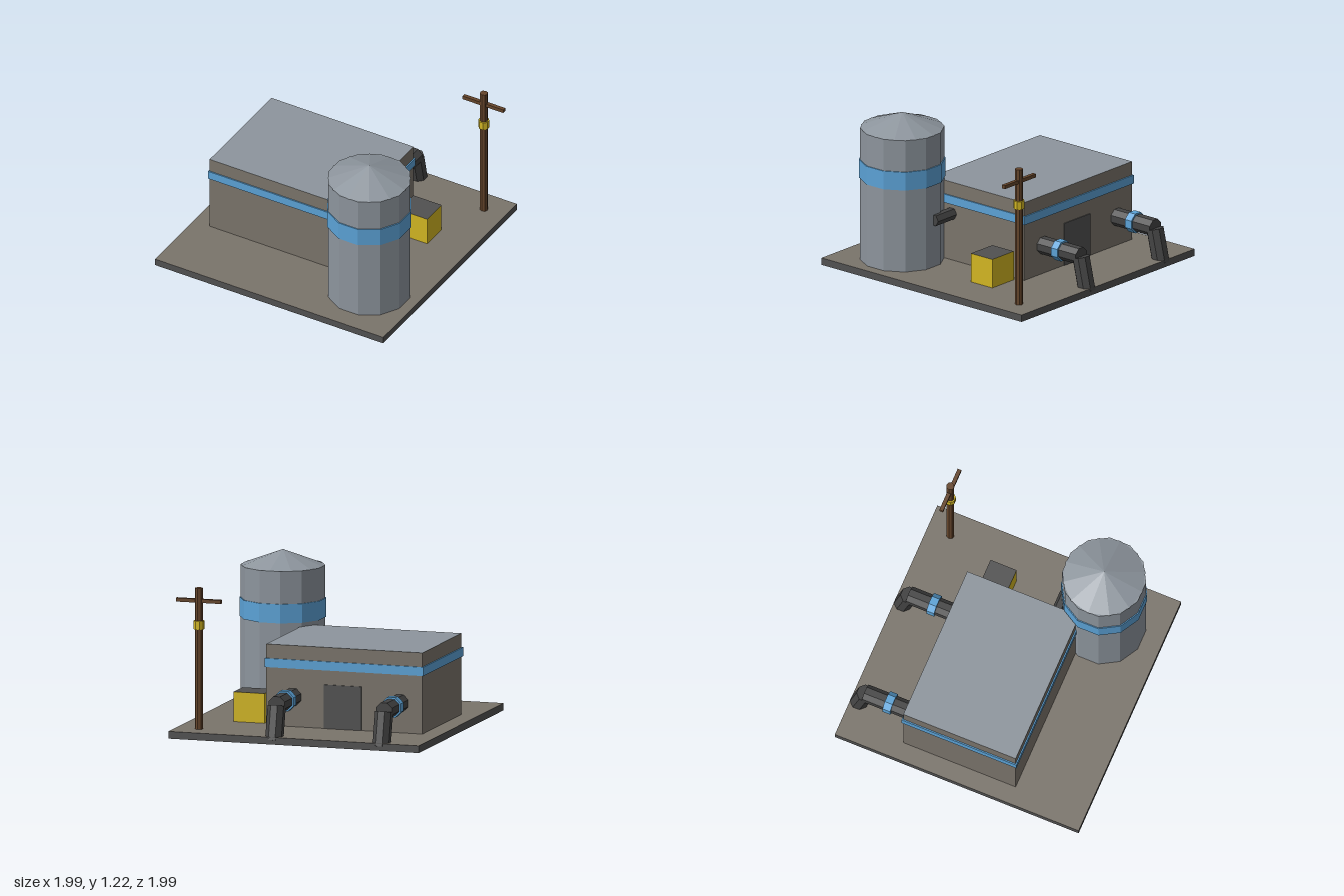
import * as THREE from 'three';

const paint = (name, color, side = THREE.FrontSide) => {
  const m = new THREE.MeshStandardMaterial({ color, side, flatShading: true });
  m.name = name;
  return m;
};

export function createModel() {
  const root = new THREE.Group();
  root.name = 'industrialYard';

  const concrete = paint('brownConcrete', 0x7a746b, THREE.DoubleSide);
  const steel = paint('paleSteel', 0x8d959d);
  const blue = paint('blueStripe', 0x5ba2d6);
  const dark = paint('darkGrey', 0x515151, THREE.DoubleSide);
  const pipeGrey = paint('pipeGrey', 0x444444);
  const wood = paint('brownWood', 0x65452b);
  const yellow = paint('safetyYellow', 0xd2b622);

  const add = (name, geometry, material, parent = root) => {
    const mesh = new THREE.Mesh(geometry, material);
    mesh.name = name;
    parent.add(mesh);
    return mesh;
  };

  // Box given by its limits on each axis
  const box = (name, [x0, x1], [y0, y1], [z0, z1], material, parent) => {
    const g = new THREE.BoxGeometry(x1 - x0, y1 - y0, z1 - z0);
    g.translate((x0 + x1) / 2, (y0 + y1) / 2, (z0 + z1) / 2);
    return add(name, g, material, parent);
  };

  // Bottomless box with its own colour on the top face
  const openBox = (name, xs, ys, zs, sideMat, topMat) => {
    const mesh = box(name, xs, ys, zs, [sideMat, topMat]);
    const g = mesh.geometry;
    const index = Array.from(g.index.array);
    index.splice(18, 6);
    g.setIndex(index);
    g.clearGroups();
    g.addGroup(0, 12, 0);
    g.addGroup(12, 6, 1);
    g.addGroup(18, 12, 0);
    return mesh;
  };

  // Prism between two points; phase turns its corners about the axis
  const prism = (name, a, b, radius, sides, phase, material, parent) => {
    const from = new THREE.Vector3(...a);
    const dir = new THREE.Vector3(...b).sub(from);
    const g = new THREE.CylinderGeometry(radius, radius, dir.length(), sides, 1, false, phase);
    const mesh = add(name, g, material, parent);
    mesh.position.copy(from).addScaledVector(dir, 0.5);
    mesh.quaternion.setFromUnitVectors(new THREE.Vector3(0, 1, 0), dir.normalize());
    return mesh;
  };

  const floor = 0.055;

  // Ground slab, hollow underneath
  openBox('groundSlab', [-0.995, 0.995], [0, floor], [-0.99, 1], dark, concrete);

  // Main building
  openBox('building', [-0.855, 0.387], [floor, 0.675], [-0.49, 0.427], concrete, steel);
  box('buildingStripe', [-0.865, 0.397], [0.5, 0.567], [-0.5, 0.437], blue);
  box('backDoor', [-0.37, -0.07], [floor, 0.39], [-0.497, -0.489], dark);

  // Storage tank
  const tank = new THREE.Group();
  tank.name = 'storageTank';
  tank.position.set(0.602, 0, 0.537);
  root.add(tank);
  const turn = Math.PI / 12;
  prism('tankBody', [0, floor - 0.002, 0], [0, 1.102, 0], 0.319, 12, turn, steel, tank);
  prism('tankStripe', [0, 0.707, 0], [0, 0.852, 0], 0.327, 12, turn, blue, tank);
  add('tankRoof', new THREE.ConeGeometry(0.314, 0.118, 12), steel, tank).position.y = 1.161;

  // Link pipe between building and tank
  prism('linkPipe', [0.37, 0.427, 0.227], [0.6, 0.427, 0.227], 0.047, 6, 0, pipeGrey);

  // Two outlet pipes at the back
  for (const x of [-0.677, 0.175]) {
    const outlet = new THREE.Group();
    outlet.name = 'outletPipe';
    outlet.position.x = x;
    root.add(outlet);
    const y = 0.283, p = Math.PI / 8;
    prism('pipeRun', [0, y, -0.48], [0, y, -0.875], 0.069, 8, p, pipeGrey, outlet);
    prism('pipeDrop', [0, 0.278, -0.873], [0, 0.02, -0.932], 0.069, 8, p, pipeGrey, outlet);
    prism('pipeStripe', [0, y, -0.64], [0, y, -0.703], 0.083, 8, p, blue, outlet);
  }

  // Yellow utility cabinet
  openBox('cabinet', [0.425, 0.672], [floor, 0.282], [-0.42, -0.207], yellow, dark);

  // Utility pole
  const pole = new THREE.Group();
  pole.name = 'utilityPole';
  pole.position.set(0.814, 0, -0.808);
  root.add(pole);
  prism('poleShaft', [0, floor - 0.002, 0], [0, 1.132, 0], 0.031, 8, 0, wood, pole);
  prism('poleCollar', [0, 0.817, 0], [0, 0.882, 0], 0.042, 8, Math.PI / 8, yellow, pole);
  box('crossArm', [-0.178, 0.178], [1.02, 1.048], [-0.015, 0.015], wood, pole);

  return root;
}
